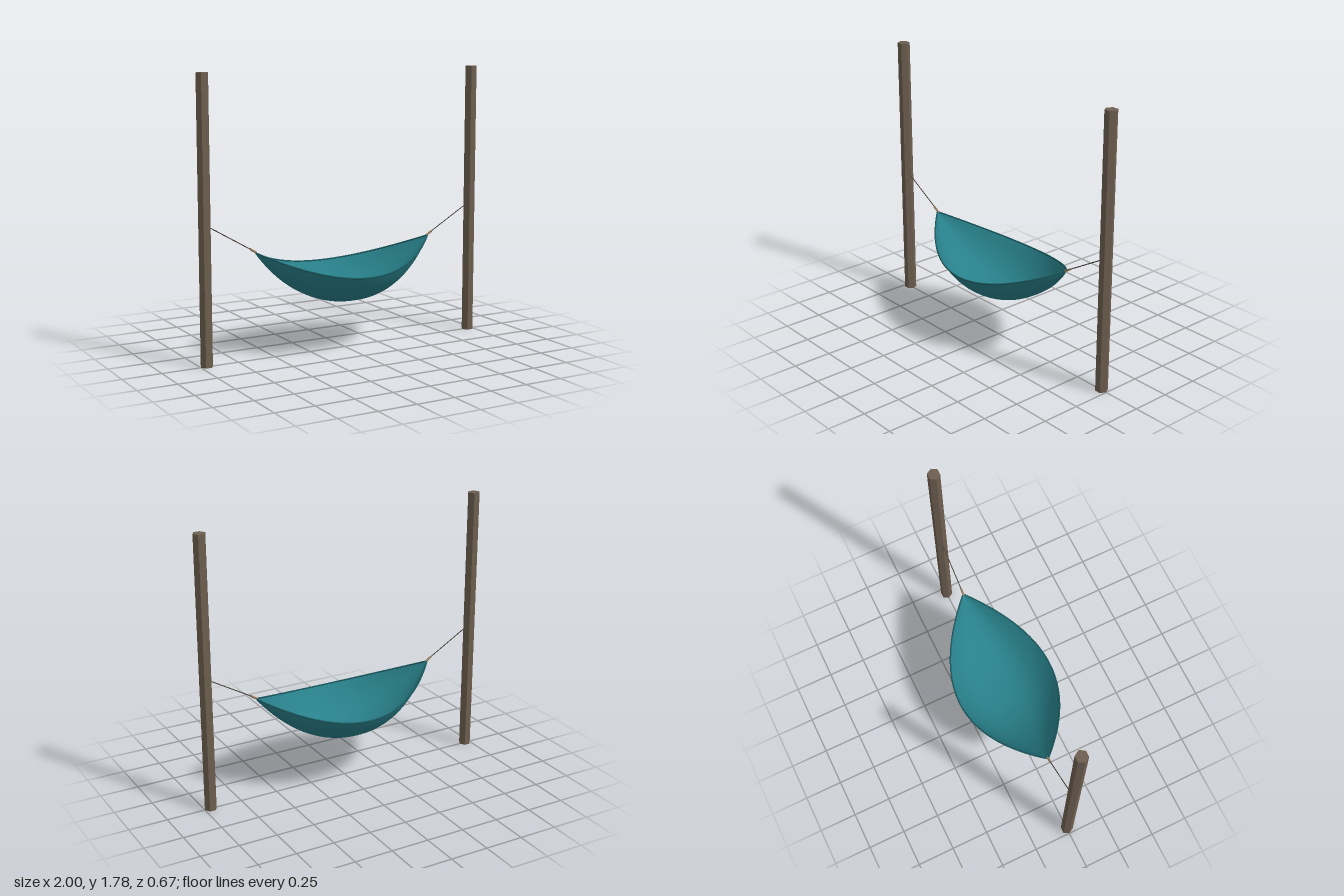
import * as THREE from 'three';

const material = (name, color, side = THREE.FrontSide) => {
  const m = new THREE.MeshStandardMaterial({ color, side });
  m.name = name;
  return m;
};

const HALF = 0.625; // half length of the cloth

// Point on the cloth: t runs end to end, v from one rim to the other (both -1..1)
function clothPoint(t, v) {
  const a = Math.abs(t);
  const halfWidth = 0.006 + 0.322 * (1 - a * a);
  const rim = 0.512 + 0.16 * a * a;
  const bottom = 0.313 + 0.352 * Math.pow(a, 2.2);
  const y = bottom + (rim - bottom) * Math.pow(Math.abs(v), 2.6);
  return new THREE.Vector3(t * HALF, y, v * halfWidth);
}

function clothGeometry(nu, nv) {
  const geo = new THREE.PlaneGeometry(2, 2, nu, nv);
  const pos = geo.attributes.position;
  for (let i = 0; i < pos.count; i++) {
    const p = clothPoint(pos.getX(i), -pos.getY(i));
    pos.setXYZ(i, p.x, p.y, p.z);
  }
  geo.computeVertexNormals();
  return geo;
}

// Cylinder between two points
function rod(name, from, to, radius, sides, mat) {
  const dir = to.clone().sub(from);
  const mesh = new THREE.Mesh(new THREE.CylinderGeometry(radius, radius, dir.length(), sides), mat);
  mesh.position.copy(from).addScaledVector(dir, 0.5);
  mesh.quaternion.setFromUnitVectors(new THREE.Vector3(0, 1, 0), dir.normalize());
  mesh.name = name;
  return mesh;
}

export function createModel() {
  const group = new THREE.Group();
  group.name = 'hammock';

  const wood = material('post wood', 0x6e5f50);
  wood.flatShading = true;
  const teal = material('teal cloth', 0x28808a, THREE.DoubleSide);
  const hemTeal = material('dark teal hem', 0x1a5a60);
  const cord = material('dark cord', 0x4a4036);
  const tan = material('tan binding', 0x9a8266);

  // Sagging cloth
  const cloth = new THREE.Mesh(clothGeometry(48, 32), teal);
  cloth.name = 'cloth';
  group.add(cloth);

  // Hem along each long edge
  for (const s of [-1, 1]) {
    const pts = [];
    for (let i = 0; i <= 24; i++) pts.push(clothPoint(i / 12 - 1, s));
    const hem = new THREE.Mesh(
      new THREE.TubeGeometry(new THREE.CatmullRomCurve3(pts), 48, 0.005, 8), hemTeal);
    hem.name = s > 0 ? 'frontHem' : 'backHem';
    group.add(hem);
  }

  // Hexagonal posts, ropes and bindings on both ends
  for (const s of [-1, 1]) {
    const side = s > 0 ? 'left' : 'right';
    const post = new THREE.Mesh(
      new THREE.CylinderGeometry(0.04, 0.04, 1.78, 6, 1, false, Math.PI / 6), wood);
    post.position.set(s * 0.96, 0.89, 0);
    post.name = side + 'Post';

    const end = new THREE.Vector3(s * 0.62, 0.674, 0);
    const knot = new THREE.Vector3(s * 0.662, 0.7, 0);
    const anchor = new THREE.Vector3(s * 0.925, 0.853, 0);
    group.add(
      post,
      rod(side + 'Rope', knot, anchor, 0.003, 8, cord),
      rod(side + 'Binding', end, knot, 0.007, 10, tan));
  }
  return group;
}
